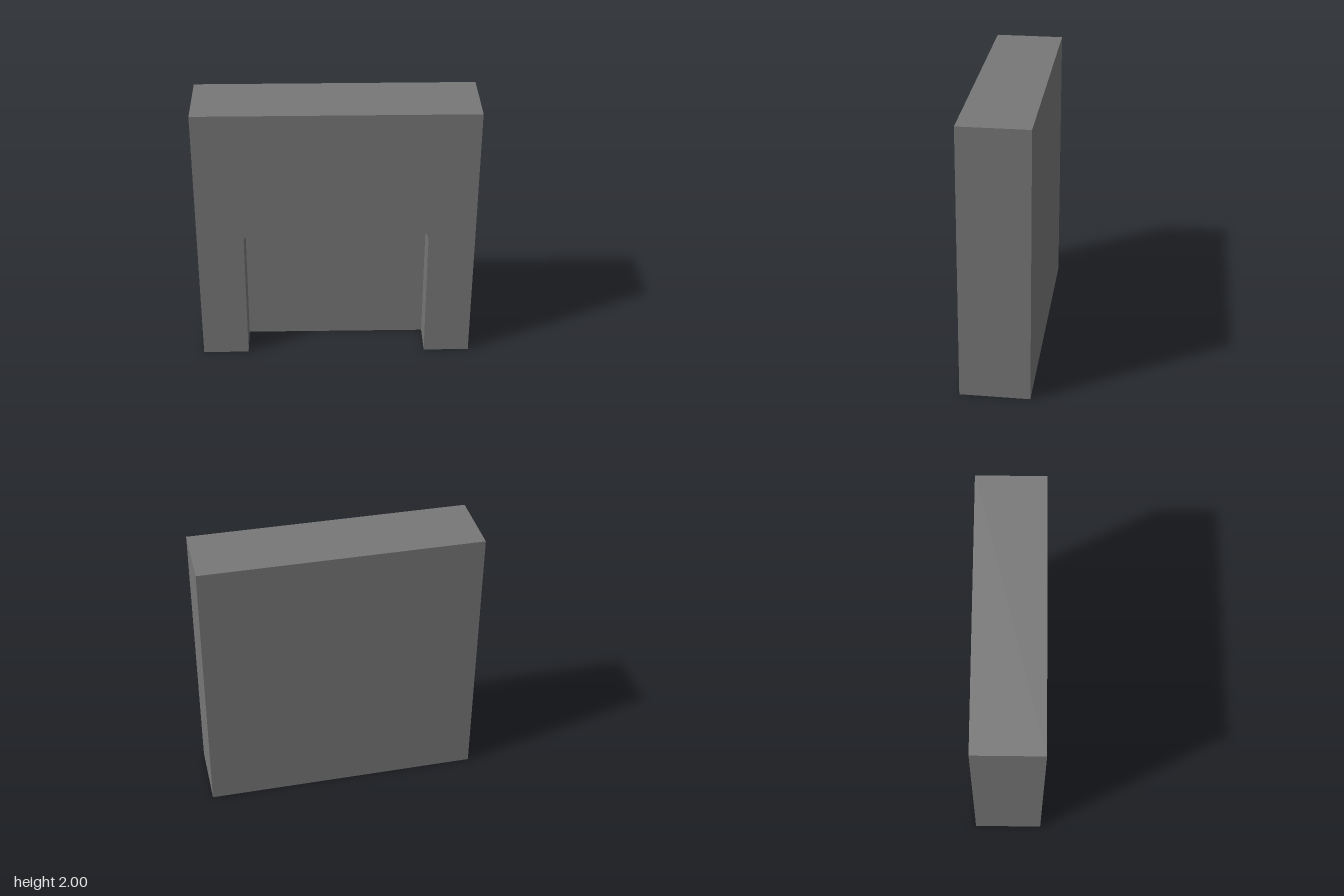
import * as THREE from 'three';

const W = 2, H = 2, D = 0.5, RECESS_Z = 0;

// Faceted arch outline, from the right foot over the crown to the left foot
const half = [[-0.664, 0], [-0.664, 1.003], [-0.535, 1.303], [-0.297, 1.475]];
const arch = [...half, [0, 1.55], ...half.map(([x, y]) => [-x, y]).reverse()]
  .map(([x, y]) => new THREE.Vector2(x, y));

export function createModel() {
  const group = new THREE.Group();
  const material = new THREE.MeshStandardMaterial({
    color: 0x777777, flatShading: true, side: THREE.DoubleSide,
  });
  const add = (name, geometry, x = 0, y = 0, z = 0) => {
    const mesh = new THREE.Mesh(geometry, material);
    mesh.name = name;
    mesh.position.set(x, y, z);
    group.add(mesh);
  };

  // Outer shell, open underneath
  add('backWall', new THREE.PlaneGeometry(W, H).rotateY(Math.PI), 0, H / 2, -D / 2);
  add('topWall', new THREE.PlaneGeometry(W, D).rotateX(-Math.PI / 2), 0, H, 0);
  for (const [name, s] of [['leftWall', 1], ['rightWall', -1]]) {
    add(name, new THREE.PlaneGeometry(D, H).rotateY(s * Math.PI / 2), s * W / 2, H / 2, 0);
  }

  // Front wall with the doorway cut up from the ground
  const front = new THREE.Shape([
    new THREE.Vector2(-W / 2, 0), ...arch, new THREE.Vector2(W / 2, 0),
    new THREE.Vector2(W / 2, H), new THREE.Vector2(-W / 2, H),
  ]);
  add('frontWall', new THREE.ShapeGeometry(front), 0, 0, D / 2);

  // Panel closing the back of the recess
  add('recessPanel', new THREE.ShapeGeometry(new THREE.Shape(arch)), 0, 0, RECESS_Z);

  // Inner faces of the arch, facing into the opening
  const positions = [];
  for (let i = 0; i < arch.length - 1; i++) {
    const a = arch[i], b = arch[i + 1];
    const af = [a.x, a.y, D / 2], ab = [a.x, a.y, RECESS_Z];
    const bf = [b.x, b.y, D / 2], bb = [b.x, b.y, RECESS_Z];
    positions.push(...af, ...ab, ...bb, ...af, ...bb, ...bf);
  }
  const reveal = new THREE.BufferGeometry();
  reveal.setAttribute('position', new THREE.Float32BufferAttribute(positions, 3));
  reveal.computeVertexNormals();
  add('archReveal', reveal);

  return group;
}
